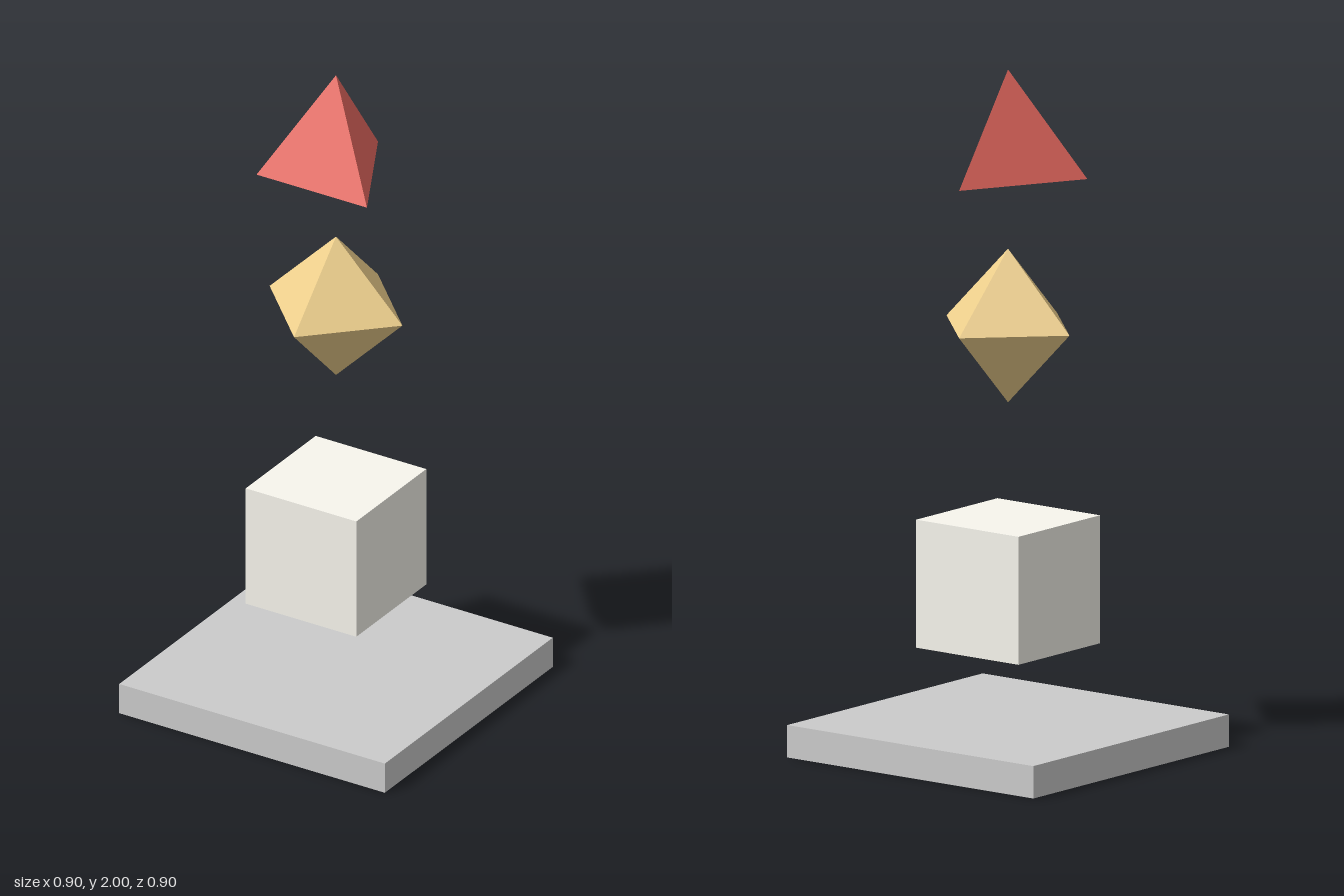
import * as THREE from 'three';

function addPart(group, name, geometry, color, y) {
  const material = new THREE.MeshStandardMaterial({ color, flatShading: true });
  const mesh = new THREE.Mesh(geometry, material);
  mesh.name = name;
  mesh.position.y = y;
  group.add(mesh);
}

// Pyramid on a triangular base, with its apex above the origin
function trianglePyramid(height, halfWidth, frontZ, backZ) {
  const apex = [0, height, 0];
  const left = [halfWidth, 0, frontZ];
  const right = [-halfWidth, 0, frontZ];
  const back = [0, 0, backZ];
  const faces = [
    [apex, right, left],
    [apex, left, back],
    [apex, back, right],
    [left, right, back],
  ];
  const geometry = new THREE.BufferGeometry();
  geometry.setAttribute('position', new THREE.Float32BufferAttribute(faces.flat(2), 3));
  geometry.computeVertexNormals();
  return geometry;
}

export function createModel() {
  const model = new THREE.Group();
  model.name = 'floatingSolids';

  // Square slab on the floor
  addPart(model, 'base', new THREE.BoxGeometry(0.9, 0.095, 0.9), 0xcccccc, 0.0475);

  // Solids floating in a column above it
  addPart(model, 'cube', new THREE.BoxGeometry(0.375, 0.375, 0.375), 0xf8f6ee, 0.5);
  addPart(model, 'octahedron', new THREE.OctahedronGeometry(0.225), 0xf0d18e, 1.25);
  addPart(model, 'tetrahedron', trianglePyramid(0.318, 0.187, 0.13, -0.225), 0xe96a61, 1.682);

  return model;
}
